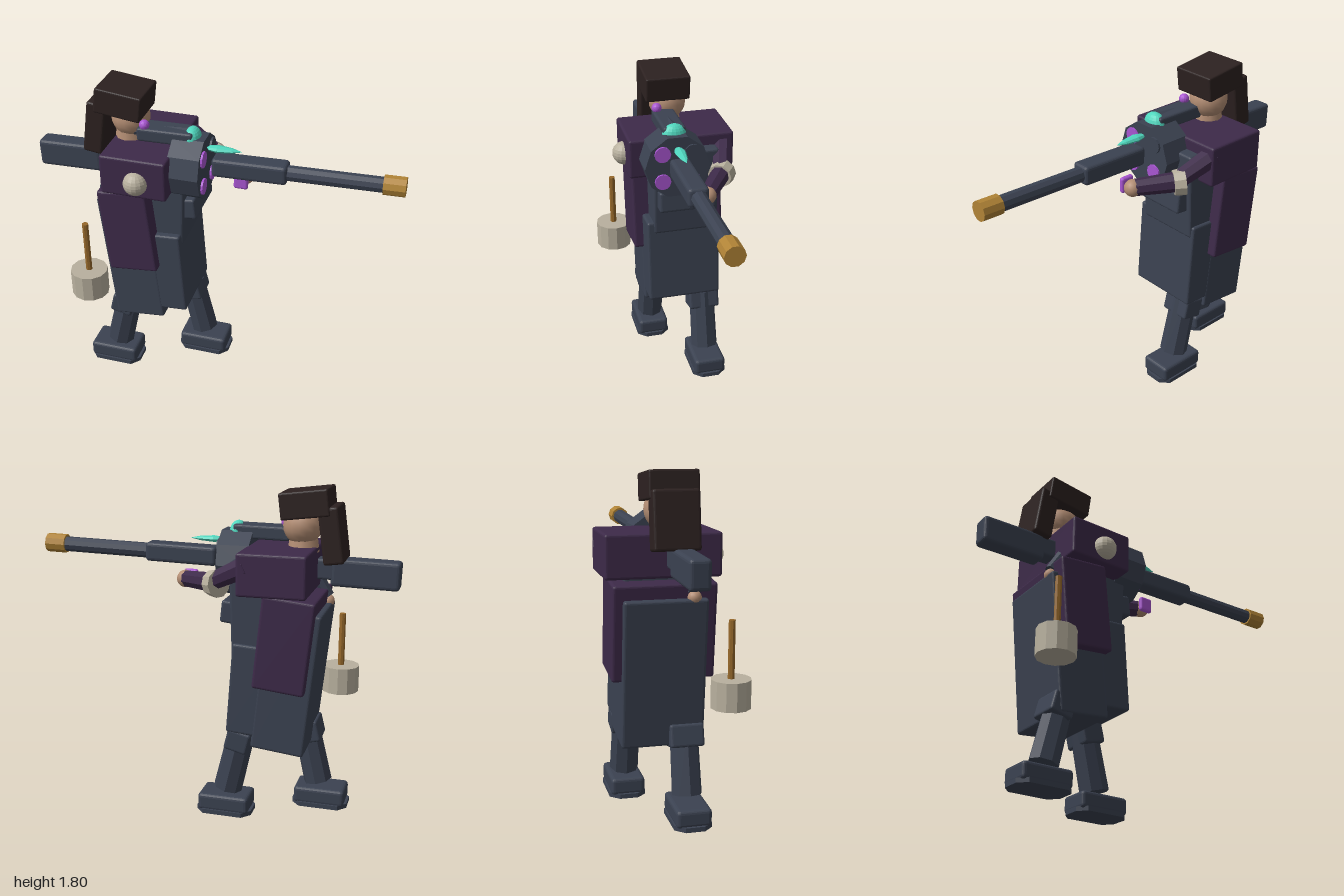
import * as THREE from 'three';
import { RoundedBoxGeometry } from 'three/addons/geometries/RoundedBoxGeometry.js';

const mat = (name, color, flatShading = false) => {
  const m = new THREE.MeshStandardMaterial({ color, flatShading });
  m.name = name;
  return m;
};

export function createModel() {
  const root = new THREE.Group();
  root.name = 'gunner';
  const slate = mat('slate', 0x3b4251, true);
  const plum = mat('plum', 0x3d2a49, true);
  const cream = mat('cream', 0xb8b09e, true);
  const brass = mat('brass', 0xb08336, true);
  const wood = mat('wood', 0x97692b, true);
  const fur = mat('dark fur', 0x2c2120, true);
  const skin = mat('skin', 0xb48e74);
  const teal = mat('teal crystal', 0x4fd6bd, true);
  const violet = mat('violet glow', 0xa955d2, true);

  const add = (name, geo, material, x, y, z, tilt = 0) => {
    const mesh = new THREE.Mesh(geo, material);
    mesh.name = name;
    mesh.position.set(x, y, z);
    mesh.rotation.z = THREE.MathUtils.degToRad(tilt);
    root.add(mesh);
    return mesh;
  };
  // Softly bevelled box, tilted about the z axis
  const box = (name, material, w, h, d, x, y, z, tilt = 0, r = 0.014) =>
    add(name, new RoundedBoxGeometry(w, h, d, 2, r), material, x, y, z, tilt);
  const ball = (name, material, r, x, y, z, sx = 1, sy = 1, sz = 1) =>
    add(name, new THREE.SphereGeometry(r, 16, 12).scale(sx, sy, sz), material, x, y, z);
  // Faceted cylinder between two points
  const rod = (name, material, a, b, r0, r1 = r0, sides = 8) => {
    const p = new THREE.Vector3(...a), q = new THREE.Vector3(...b);
    const dir = q.clone().sub(p), mid = p.add(q).multiplyScalar(0.5);
    const mesh = add(name, new THREE.CylinderGeometry(r1, r0, dir.length(), sides), material, mid.x, mid.y, mid.z);
    mesh.quaternion.setFromUnitVectors(new THREE.Vector3(0, 1, 0), dir.normalize());
    return mesh;
  };

  // Boot sole outline: long octagon lying on the ground
  const soleShape = new THREE.Shape();
  [[-0.155, -0.05], [-0.11, -0.1], [0.11, -0.1], [0.155, -0.05],
    [0.155, 0.05], [0.11, 0.1], [-0.11, 0.1], [-0.155, 0.05]]
    .forEach(([x, y], i) => (i ? soleShape.lineTo(x, y) : soleShape.moveTo(x, y)));

  // Legs: front one and rear one in a wide stance
  for (const [side, z, foot, ankle, knee] of [
    ['right', -0.185, -0.115, -0.125, -0.205], ['left', 0.055, -0.61, -0.59, -0.51]]) {
    const sole = new THREE.ExtrudeGeometry(soleShape, { depth: 0.025, bevelEnabled: false }).rotateX(-Math.PI / 2);
    add(side + 'Sole', sole, slate, foot, 0, z);
    box(side + 'Boot', slate, 0.285, 0.095, 0.185, foot, 0.062, z, 0, 0.02);
    rod(side + 'Shin', slate, [ankle, 0.135, z], [knee, 0.48, z], 0.08, 0.075);
    box(side + 'Knee', slate, 0.13, 0.12, 0.18, knee + (side === 'left' ? -0.025 : 0.01), 0.44, z, side === 'left' ? -14 : 14);
  }

  // Long coat
  box('coatTail', slate, 0.29, 0.78, 0.43, -0.455, 0.795, -0.065, 6);
  box('coatFront', slate, 0.27, 0.5, 0.425, -0.285, 0.735, -0.065, 4);
  box('torso', slate, 0.38, 0.5, 0.37, -0.34, 1.18, -0.075, -2);
  box('chestPlate', slate, 0.15, 0.12, 0.32, -0.165, 1.145, -0.07, 6);

  // Cape and shoulder mantle
  box('cape', plum, 0.28, 0.5, 0.53, -0.45, 1.01, -0.065, 6);
  box('mantle', plum, 0.365, 0.225, 0.595, -0.387, 1.378, -0.063);
  ball('shoulderPom', cream, 0.066, -0.37, 1.355, 0.232);

  // Right arm reaching to the grip
  rod('rightUpperArm', plum, [-0.26, 1.42, -0.31], [-0.06, 1.32, -0.25], 0.06, 0.05);
  rod('rightCuff', cream, [-0.095, 1.31, -0.27], [-0.045, 1.305, -0.235], 0.075, 0.068, 10);
  rod('rightForearm', plum, [-0.06, 1.31, -0.245], [0.125, 1.295, -0.125], 0.055, 0.046);
  ball('rightHand', skin, 0.047, 0.137, 1.293, -0.118);
  box('gripPlate', violet, 0.08, 0.09, 0.03, 0.125, 1.29, -0.055);
  // Left arm tucked behind
  rod('leftForearm', slate, [-0.5, 1.36, 0.08], [-0.61, 1.2, 0.08], 0.05, 0.035);
  ball('leftHand', skin, 0.036, -0.61, 1.175, 0.08);

  // Head and fur hat
  rod('neck', skin, [-0.49, 1.46, -0.04], [-0.49, 1.56, -0.04], 0.085, 0.07, 10);
  ball('head', skin, 0.105, -0.485, 1.6, -0.045);
  box('hat', fur, 0.258, 0.14, 0.252, -0.507, 1.716, -0.03, -7, 0.01);
  box('hatFlap', fur, 0.108, 0.295, 0.235, -0.648, 1.56, -0.032, -8);
  ball('eyepiece', violet, 0.028, -0.38, 1.6, 0.038);

  // Shoulder cannon
  box('stock', slate, 0.362, 0.15, 0.108, -0.819, 1.352, 0, 1.5, 0.02);
  box('receiver', slate, 0.5, 0.11, 0.1, -0.42, 1.375, 0, 1.5);
  rod('drum', slate, [-0.22, 1.385, 0], [-0.048, 1.385, 0], 0.18, 0.18, 10);
  box('barrelShroud', slate, 0.405, 0.105, 0.11, 0.19, 1.41, 0, 1.5, 0.02);
  rod('barrel', slate, [0.38, 1.414, 0], [0.9, 1.427, 0], 0.042, 0.042, 10);
  rod('muzzle', brass, [0.885, 1.428, 0], [0.999, 1.431, 0], 0.053, 0.053, 10);
  // Chambers around the drum face
  for (const [y, z] of [[1, 1], [-1, 1], [1, -1], [-1, -1]]) {
    const chamber = y > 0 && z < 0 ? slate : violet;
    rod('chamber', chamber, [-0.06, 1.388 + y * 0.08, z * 0.083], [-0.037, 1.388 + y * 0.08, z * 0.083], 0.045, 0.045, 12);
  }
  // Tapered sight housing with its crystals
  rod('sightHousing', slate, [-0.51, 1.545, 0], [-0.12, 1.55, 0], 0.025, 0.05, 8);
  box('sightBase', slate, 0.31, 0.075, 0.125, -0.265, 1.55, 0, 1);
  ball('sightCrystal', teal, 0.066, -0.127, 1.542, 0, 0.72, 0.95, 1.02);
  const spike = new THREE.LatheGeometry(
    [[0, 0], [0.02, 0.015], [0.031, 0.06], [0.02, 0.14], [0, 0.195]].map(p => new THREE.Vector2(...p)), 8)
    .rotateZ(-Math.PI / 2).scale(1, 0.6, 1);
  add('crystalSpike', spike, teal, -0.05, 1.497, 0);

  // Mallet hanging at the hip
  rod('malletHandle', wood, [-0.667, 0.76, 0.258], [-0.667, 1.065, 0.258], 0.018, 0.018, 8);
  rod('malletHead', cream, [-0.667, 0.615, 0.258], [-0.667, 0.765, 0.258], 0.104, 0.104, 12);

  return root;
}
